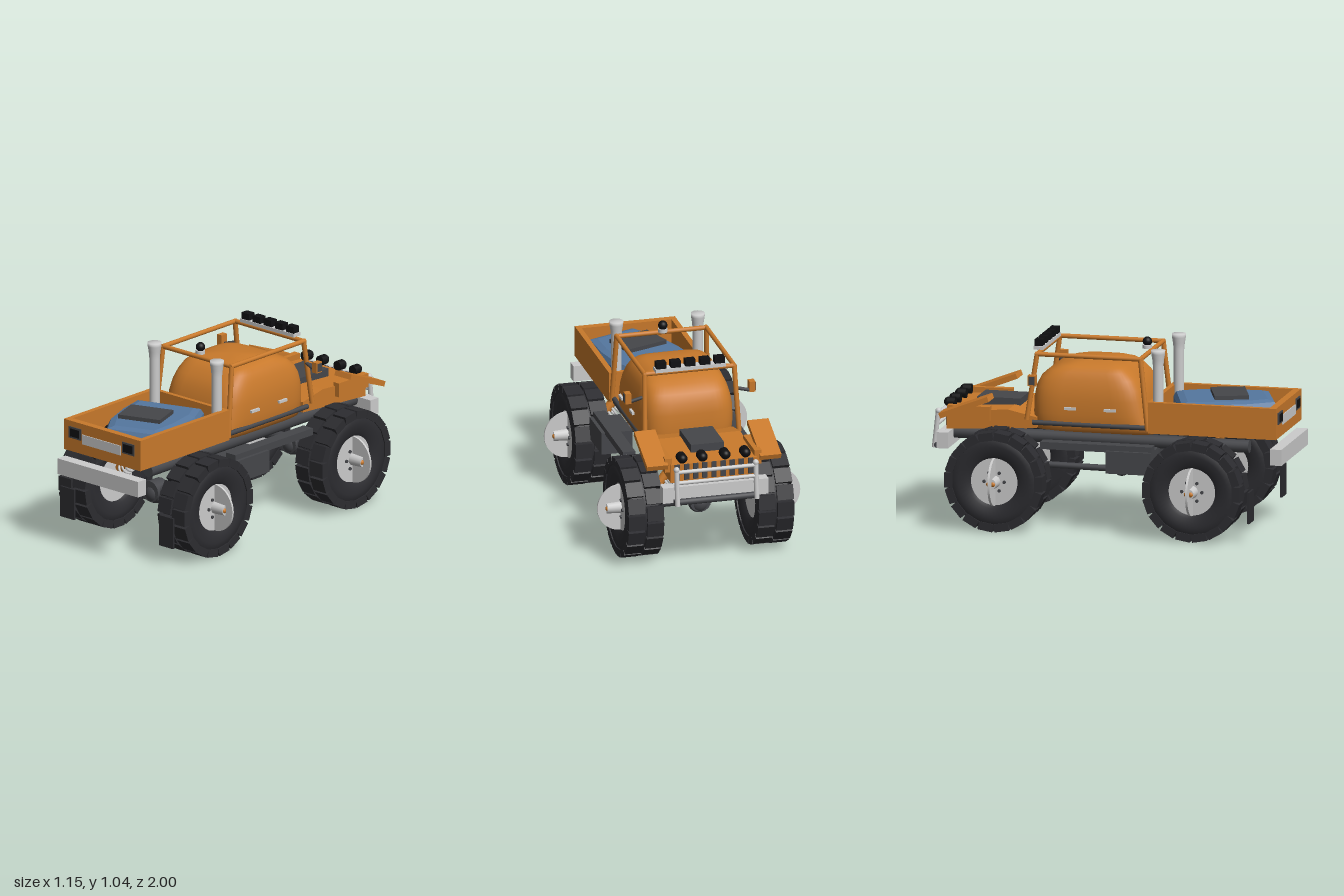
import * as THREE from 'three';

const V = (x, y, z) => new THREE.Vector3(x, y, z);
const mat = (color, extra = {}) => new THREE.MeshStandardMaterial({ color, ...extra });
const orange = mat(0xc8792b), grey = mat(0xcccccc), dark = mat(0x45464a), rubber = mat(0x2c2c30);
const black = mat(0x101012), blue = mat(0x55779f, { flatShading: true });

export function createModel() {
  const truck = new THREE.Group();
  truck.name = 'truck';
  const add = (name, geo, m, x = 0, y = 0, z = 0, parent = truck) => {
    const mesh = new THREE.Mesh(geo, m);
    mesh.name = name;
    mesh.position.set(x, y, z);
    parent.add(mesh);
    return mesh;
  };
  // box given by its limits
  const box = (name, m, x0, x1, y0, y1, z0, z1, parent) => add(name,
    new THREE.BoxGeometry(Math.abs(x1 - x0), y1 - y0, z1 - z0), m, (x0 + x1) / 2, (y0 + y1) / 2, (z0 + z1) / 2, parent);
  // round bar between two points
  const bar = (name, m, a, b, r, r2 = r, parent = truck) => {
    const d = b.clone().sub(a);
    const mesh = add(name, new THREE.CylinderGeometry(r2, r, d.length(), 16), m, 0, 0, 0, parent);
    mesh.position.copy(a).add(b).multiplyScalar(0.5);
    mesh.quaternion.setFromUnitVectors(V(0, 1, 0), d.normalize());
    return mesh;
  };
  const ball = (name, m, r, x, y, z, parent) => add(name, new THREE.SphereGeometry(r, 20, 14), m, x, y, z, parent);

  // wheels: axis along x, outer side towards +x before mirroring
  const tireProfile = [[0.125, -0.07], [0.15, -0.088], [0.2, -0.098], [0.24, -0.092], [0.262, -0.07],
    [0.262, 0.07], [0.24, 0.092], [0.2, 0.098], [0.15, 0.088], [0.125, 0.07]].map(p => new THREE.Vector2(...p));
  const makeWheel = () => {
    const w = new THREE.Group();
    w.name = 'wheel';
    add('tire', new THREE.LatheGeometry(tireProfile, 48), rubber, 0, 0, 0, w).rotation.z = -Math.PI / 2;
    const lugGeo = new THREE.BoxGeometry(0.094, 0.045, 0.083);
    for (let side = -1; side <= 1; side += 2)
      for (let i = 0; i < 18; i++) {
        const a = (i + (side > 0 ? 0.5 : 0)) / 18 * Math.PI * 2;
        add('treadBlock', lugGeo, rubber, side * 0.053, Math.cos(a) * 0.2545, Math.sin(a) * 0.2545, w).rotation.x = a;
      }
    bar('rim', grey, V(-0.075, 0, 0), V(0.075, 0, 0), 0.134, 0.134, w);
    const fin = add('hubFin', new THREE.CylinderGeometry(0.134, 0.134, 0.012, 40), grey, 0.073, 0, 0, w);
    fin.rotation.x = Math.PI / 2;
    bar('hub', grey, V(0.06, 0, 0), V(0.155, 0, 0), 0.036, 0.03, w);
    ball('hubCap', orange, 0.016, 0.147, 0, 0.012, w);
    ball('hubCap', orange, 0.016, 0.147, 0, -0.012, w);
    for (let i = 0; i < 6; i++) {
      const a = (i + 0.5) / 6 * Math.PI * 2;
      bar('wheelBolt', dark, V(0.07, Math.cos(a) * 0.057, Math.sin(a) * 0.057),
        V(0.084, Math.cos(a) * 0.057, Math.sin(a) * 0.057), 0.009, 0.009, w);
    }
    return w;
  };

  for (const z of [0.53, -0.59]) {
    bar('axle', dark, V(-0.36, 0.285, z), V(0.36, 0.285, z), 0.03);
    ball('differential', dark, 0.06, 0, 0.265, z);
    bar('differentialHousing', dark, V(0, 0.28, z - 0.045), V(0, 0.28, z + 0.045), 0.06);
    for (const s of [-1, 1]) {
      const wheel = makeWheel();
      wheel.position.set(s * 0.37, 0.28, z);
      if (s < 0) wheel.rotation.y = Math.PI;
      truck.add(wheel);
      // shock absorber and coil spring
      bar('shockAbsorber', orange, V(s * 0.27, 0.34, z), V(s * 0.16, 0.48, z), 0.025);
      const a = V(s * 0.24, 0.34, z), b = V(s * 0.13, 0.43, z);
      const pts = Array.from({ length: 61 }, (_, i) => {
        const t = i / 60, p = a.clone().lerp(b, t), q = t * Math.PI * 10;
        return p.add(V(Math.cos(q) * 0.022, s * Math.cos(q) * 0.027, Math.sin(q) * 0.035));
      });
      add('coilSpring', new THREE.TubeGeometry(new THREE.CatmullRomCurve3(pts), 90, 0.007, 6), grey);
    }
  }

  // chassis
  bar('driveShaft', dark, V(0, 0.285, 0.53), V(0, 0.3, -0.59), 0.018);
  ball('transferCase', dark, 0.05, 0, 0.305, 0.02);
  for (const s of [-1, 1]) {
    bar('chassisRail', dark, V(s * 0.18, 0.495, 0.79), V(s * 0.18, 0.495, -0.88), 0.036);
    box('runningBoard', dark, s * 0.295, s * 0.365, 0.46, 0.5, -0.35, 0.28);
    box('fuelTank', dark, s * 0.21, s * 0.385, 0.345, 0.47, 0.025, 0.28);
    bar('sillTube', dark, V(s * 0.26, 0.585, 0.23), V(s * 0.26, 0.585, -0.42), 0.014);
    box('mudFlap', rubber, s * 0.315, s * 0.42, 0.11, 0.285, 0.836, 0.848);
  }
  box('bedBumper', grey, -0.3, 0.3, 0.42, 0.51, 0.935, 1);

  // open bed
  box('bedFloor', orange, -0.285, 0.285, 0.56, 0.585, 0.24, 0.965);
  for (const s of [-1, 1]) box('bedSide', orange, s * 0.255, s * 0.285, 0.56, 0.735, 0.24, 0.965);
  box('bedEnd', orange, -0.285, 0.285, 0.56, 0.735, 0.925, 0.965);
  box('bedEnd', orange, -0.285, 0.285, 0.56, 0.735, 0.24, 0.265);
  box('tailPlate', grey, -0.145, 0.142, 0.62, 0.675, 0.96, 0.97);
  for (const s of [-1, 1]) {
    box('tailLampFrame', dark, s * 0.153, s * 0.243, 0.638, 0.703, 0.955, 0.971);
    box('tailLamp', black, s * 0.165, s * 0.231, 0.648, 0.693, 0.96, 0.974);
    // exhaust stack
    const stack = [[0.029, 0.58], [0.029, 0.93], [0.033, 0.97], [0.038, 1.0], [0.039, 1.02], [0, 1.02]];
    add('exhaustStack', new THREE.LatheGeometry(stack.map(p => new THREE.Vector2(...p)), 24), grey, s * 0.232, 0, 0.285);
  }

  // cargo: a skewed block under a flat lid
  const cargo = new THREE.Shape([[-0.25, -0.41], [0.13, -0.28], [0.21, -0.42], [0.25, -0.6], [0.26, -0.8],
    [-0.03, -0.91], [-0.14, -0.76], [-0.21, -0.58]].reverse().map(p => new THREE.Vector2(...p)));
  const cargoGeo = new THREE.ExtrudeGeometry(cargo, { depth: 0.08, bevelThickness: 0.04, bevelSize: 0.05, bevelOffset: -0.05, bevelSegments: 2 });
  add('cargo', cargoGeo.rotateX(-Math.PI / 2), blue, 0, 0.61, 0);
  add('cargoLid', new THREE.BoxGeometry(0.25, 0.022, 0.19), dark, 0.015, 0.746, 0.628).rotation.y = 0.34;
  box('lidPost', blue, -0.04, 0.07, 0.7, 0.737, 0.58, 0.68);
  ball('cargoKnob', black, 0.022, -0.15, 0.69, 0.46);
  ball('cargoKnob', black, 0.028, -0.145, 0.65, 0.75);

  // cab shell: rounded rectangles stacked upward [y, half width, back z, front z]
  const levels = [[0.53, 0.2, 0.26, -0.38], [0.545, 0.255, 0.275, -0.435], [0.58, 0.265, 0.25, -0.44], [0.64, 0.27, 0.225, -0.44],
    [0.72, 0.268, 0.205, -0.437], [0.78, 0.258, 0.185, -0.425], [0.83, 0.243, 0.155, -0.4], [0.87, 0.225, 0.115, -0.35],
    [0.895, 0.2, 0.08, -0.29], [0.912, 0.15, 0.03, -0.22], [0.92, 0.06, -0.05, -0.14]];
  const n = 48, pos = [], idx = [];
  const sp = v => Math.sign(v) * Math.pow(Math.abs(v), 0.4);
  const ring = ([y, hx, z0, z1]) => {
    for (let i = 0; i < n; i++) {
      const a = i / n * Math.PI * 2;
      pos.push(sp(Math.cos(a)) * hx, y, (z0 + z1) / 2 + sp(Math.sin(a)) * (z0 - z1) / 2);
    }
  };
  levels.forEach(ring);
  for (let k = 0; k < levels.length - 1; k++)
    for (let i = 0; i < n; i++) {
      const a = k * n + i, b = k * n + (i + 1) % n;
      idx.push(a, a + n, b, b, a + n, b + n);
    }
  const top = levels.length * n;
  pos.push(0, 0.921, -0.09, 0, 0.53, -0.06);
  for (let i = 0; i < n; i++) {
    const j = (i + 1) % n;
    idx.push(top - n + i, top, top - n + j, i, j, top + 1);
  }
  const cabGeo = new THREE.BufferGeometry();
  cabGeo.setAttribute('position', new THREE.Float32BufferAttribute(pos, 3));
  cabGeo.setIndex(idx);
  cabGeo.computeVertexNormals();
  add('cabShell', cabGeo, orange);

  // roll cage, door handles and mirrors
  for (const s of [-1, 1]) {
    bar('rearCagePost', orange, V(s * 0.272, 0.57, 0.235), V(s * 0.255, 0.97, 0.19), 0.014);
    bar('frontCagePost', orange, V(s * 0.268, 0.6, -0.45), V(s * 0.255, 0.97, -0.395), 0.014);
    bar('roofRail', orange, V(s * 0.255, 0.968, 0.2), V(s * 0.255, 0.968, -0.405), 0.013);
    for (const z of [0.022, -0.203]) box('doorHandle', grey, s * 0.262, s * 0.282, 0.667, 0.682, z - 0.033, z + 0.033);
    bar('mirrorArm', dark, V(s * 0.262, 0.84, -0.41), V(s * 0.345, 0.815, -0.4), 0.01).scale.z = 1;
    box('mirror', orange, s * 0.337, s * 0.37, 0.81, 0.87, -0.42, -0.375);
    box('mirrorGlass', dark, s * 0.366, s * 0.373, 0.817, 0.863, -0.414, -0.381);
  }
  for (const z of [0.19, -0.395]) bar('roofCrossbar', orange, V(-0.26, 0.968, z), V(0.26, 0.968, z), 0.013);

  // roof lamps and beacon
  box('lampBarBase', grey, -0.2, 0.2, 0.98, 1.0, -0.43, -0.375);
  for (let i = -2; i <= 2; i++) box('roofLamp', black, i * 0.083 - 0.028, i * 0.083 + 0.028, 1.0, 1.037, -0.425, -0.38);
  bar('beaconBase', grey, V(0, 0.978, 0.165), V(0, 0.998, 0.165), 0.026);
  ball('beacon', black, 0.026, 0, 1.017, 0.165);

  // engine hood, scoop and fenders
  const hood = new THREE.Shape([[0.4, 0.55], [0.91, 0.52], [0.91, 0.625], [0.56, 0.645], [0.4, 0.61]].map(p => new THREE.Vector2(...p)));
  const hoodGeo = new THREE.ExtrudeGeometry(hood, { depth: 0.49, bevelEnabled: false });
  add('hood', hoodGeo.translate(0, 0, -0.245).rotateY(Math.PI / 2), orange);
  box('hoodScoop', dark, -0.095, 0.093, 0.63, 0.678, -0.775, -0.53);
  for (const s of [-1, 1]) {
    add('fender', new THREE.BoxGeometry(0.12, 0.03, 0.295), orange, s * 0.322, 0.672, -0.78).rotation.x = -0.37;
    box('fenderMount', orange, s * 0.235, s * 0.275, 0.58, 0.66, -0.9, -0.66);
  }

  // headlamps and grille
  for (const x of [-0.18, -0.065, 0.065, 0.18]) {
    bar('headlampHousing', black, V(x, 0.66, -0.875), V(x, 0.66, -0.92), 0.028);
    ball('headlamp', black, 0.026, x, 0.66, -0.915);
  }
  for (let i = -4; i <= 4; i++) box('grilleSlot', dark, i * 0.052 - 0.014, i * 0.052 + 0.014, 0.535, 0.625, -0.92, -0.9);

  // bumper and push bar
  box('hoodBumper', grey, -0.3, 0.3, 0.42, 0.51, -0.955, -0.89);
  for (const s of [-1, 1]) {
    bar('pushBarPost', grey, V(s * 0.225, 0.41, -0.985), V(s * 0.225, 0.62, -0.962), 0.014);
    bar('pushBarBrace', grey, V(s * 0.225, 0.5, -0.975), V(s * 0.225, 0.5, -0.92), 0.012);
    ball('pushBarJoint', grey, 0.017, s * 0.225, 0.615, -0.962);
  }
  for (const [y, z] of [[0.6, -0.964], [0.54, -0.971]]) bar('pushBarTube', grey, V(-0.225, y, z), V(0.225, y, z), 0.011);
  bar('lowerCrossTube', dark, V(-0.24, 0.425, -0.965), V(0.24, 0.425, -0.965), 0.018);

  return truck;
}
